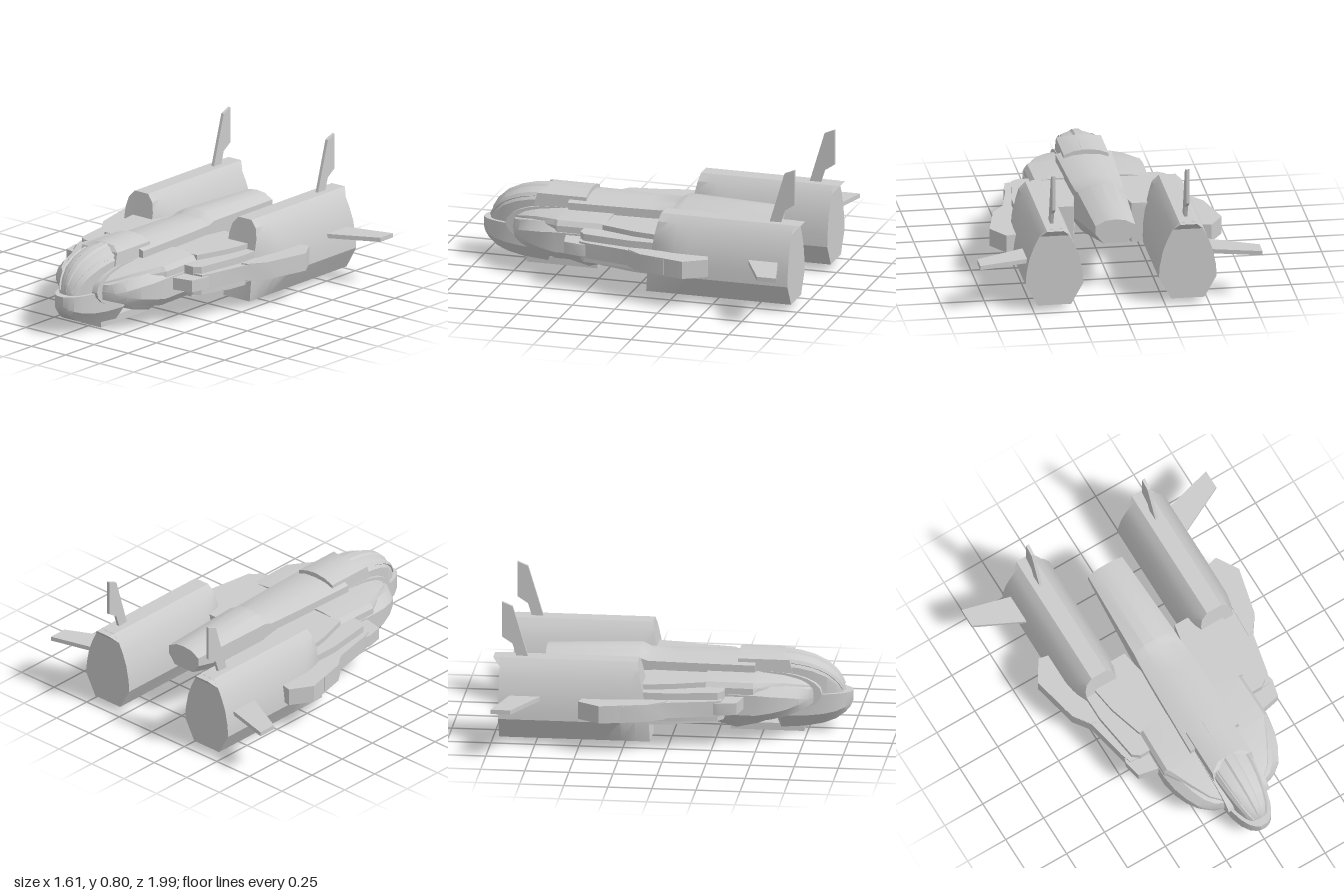
import * as THREE from 'three';
import { toCreasedNormals } from 'three/addons/utils/BufferGeometryUtils.js';

const material = new THREE.MeshStandardMaterial({ color: 0xcccccc });

function add(parent, name, geometry) {
  const mesh = new THREE.Mesh(toCreasedNormals(geometry, 0.5), material);
  mesh.name = name;
  parent.add(mesh);
  return mesh;
}

// Closed loft, front to back. Each station is [z, right half profile from top to bottom];
// the profile is mirrored about x = 0, and a third coordinate may shift z.
function loft(stations) {
  const rings = stations.map(([z, half]) => {
    const right = half.map(([x, y, dz = 0]) => new THREE.Vector3(x, y, z + dz));
    const left = right.map(p => new THREE.Vector3(-p.x, p.y, p.z)).reverse();
    return [...right, ...left];
  });
  const n = rings[0].length, out = [];
  const tri = (...ps) => ps.forEach(p => out.push(p.x, p.y, p.z));
  for (let i = 0; i + 1 < rings.length; i++) {
    for (let j = 0; j < n; j++) {
      const k = (j + 1) % n, a = rings[i], b = rings[i + 1];
      tri(a[j], a[k], b[j]);
      tri(a[k], b[k], b[j]);
    }
  }
  const cap = (ring, front) => {
    const c = ring.reduce((s, p) => s.add(p), new THREE.Vector3()).divideScalar(n);
    ring.forEach((p, j) => {
      const q = ring[(j + 1) % n];
      if (front) tri(c, q, p); else tri(c, p, q);
    });
  };
  cap(rings[0], true);
  cap(rings[rings.length - 1], false);
  const g = new THREE.BufferGeometry();
  g.setAttribute('position', new THREE.Float32BufferAttribute(out, 3));
  g.computeVertexNormals();
  return g;
}

const polygon = pts => new THREE.Shape(pts.map(p => new THREE.Vector2(...p)));

// Horizontal slab from an (x, z) outline
function slab(pts, y0, y1, side = 1) {
  const g = new THREE.ExtrudeGeometry(polygon(pts.map(([x, z]) => [x * side, -z])),
    { depth: y1 - y0, bevelEnabled: false });
  return g.rotateX(-Math.PI / 2).translate(0, y0, 0);
}

// Upright plate from a (z, y) outline, centred on x
function upright(pts, x, width) {
  const g = new THREE.ExtrudeGeometry(polygon(pts), { depth: width, bevelEnabled: false });
  return g.translate(0, 0, -width / 2).rotateY(-Math.PI / 2).translate(x, 0, 0);
}

function createNacelle(side) {
  const nacelle = new THREE.Group();
  nacelle.name = side > 0 ? 'leftNacelle' : 'rightNacelle';
  const profile = [[0.048, 0.49], [0.085, 0.45], [0.115, 0.39], [0.142, 0.32],
    [0.16, 0.23], [0.165, 0.16], [0.095, 0.035]];
  // the front face leans back with height and pinches in
  const lean = y => -0.2 * Math.max(0, y - 0.12);
  const ring = (z, limit, slope) =>
    [z, profile.map(([x, y]) => [Math.min(x, limit), y, slope * lean(y)])];
  const body = add(nacelle, 'nacelleBody', loft([
    ring(-0.1, 0.1, 1), ring(-0.18, 0.13, 0.7), ring(-0.26, 0.152, 0.4),
    ring(-0.36, 0.165, 0), ring(-0.955, 0.165, 0)]));
  body.position.x = 0.38 * side;

  // overhanging lip at the top of the rear
  const lip = add(nacelle, 'rearLip', loft([
    [-0.93, [[0.047, 0.489], [0.085, 0.45]]],
    [-0.955, [[0.047, 0.489, -0.04], [0.085, 0.45, -0.005]]]]));
  lip.position.x = 0.38 * side;

  add(nacelle, 'verticalFin', upright([[-0.8, 0.48], [-0.89, 0.78], [-0.95, 0.805],
    [-0.95, 0.6], [-0.89, 0.56], [-0.865, 0.48]], 0.382 * side, 0.018));
  add(nacelle, 'sideFin', slab([[0.5, -0.885], [0.805, -0.967], [0.805, -0.855],
    [0.5, -0.705]], 0.27, 0.295, side));
  return nacelle;
}

export function createModel() {
  const ship = new THREE.Group();
  ship.name = 'spacecraft';

  // Spine running to a thin raised tail
  const spine = (z, w, top, shoulder, low, bottom) =>
    [z, [[0, top], [w * 0.5, top - 0.006], [w, shoulder], [w, low], [w * 0.6, bottom]]];
  add(ship, 'spine', loft([
    spine(0.46, 0.16, 0.437, 0.405, 0.2, 0.12), spine(0.0, 0.145, 0.437, 0.405, 0.2, 0.12),
    spine(-0.15, 0.137, 0.437, 0.405, 0.24, 0.15), spine(-0.2, 0.134, 0.462, 0.42, 0.25, 0.165),
    spine(-0.735, 0.113, 0.445, 0.41, 0.36, 0.305)]));

  // Wide rounded shoulders: lower hull, and a stepped upper shell
  const hull = (z, w, top, bottom) =>
    [z, [[w * 0.85, top], [w, top - 0.05], [w, bottom + 0.045], [w * 0.9, bottom]]];
  add(ship, 'shoulderHull', loft([
    hull(0.79, 0.14, 0.275, 0.195), hull(0.765, 0.21, 0.285, 0.185), hull(0.72, 0.262, 0.3, 0.17),
    hull(0.65, 0.302, 0.315, 0.15), hull(0.57, 0.33, 0.325, 0.135), hull(0.48, 0.345, 0.335, 0.122),
    hull(0.19, 0.335, 0.335, 0.122)]));
  const shell = (z, w, top) =>
    [z, [[w * 0.6, top], [w * 0.94, top - 0.012], [w, top - 0.04], [w, 0.26]]];
  add(ship, 'upperShell', loft([
    shell(0.78, 0.13, 0.3), shell(0.72, 0.2, 0.325), shell(0.62, 0.26, 0.348),
    shell(0.49, 0.325, 0.362), shell(0.47, 0.341, 0.364), shell(0.19, 0.335, 0.364)]));

  // Curved collar behind the nose
  const collar = [[0.45, 0.12], [0.45, 0.365]];
  for (let i = 0; i <= 12; i++) {
    const a = Math.PI * (0.5 - i / 12);
    collar.push([0.55 + 0.285 * Math.cos(a), 0.243 + 0.122 * Math.sin(a)]);
  }
  add(ship, 'collar', upright(collar, 0, 0.27));

  // Domed canopy: [z, half width, top]
  const canopyPath = [[0.955, 0.025, 0.245], [0.945, 0.05, 0.285], [0.915, 0.072, 0.335],
    [0.86, 0.092, 0.385], [0.78, 0.108, 0.422], [0.7, 0.118, 0.442], [0.62, 0.122, 0.45], [0.36, 0.122, 0.452]];
  add(ship, 'canopy', loft(canopyPath.map(([z, w, top]) =>
    [z, [[w * 0.3, top], [w * 0.75, top - 0.018], [w, Math.max(top - 0.055, 0.235)], [w, 0.2]]])));
  add(ship, 'canopyRidge', loft(canopyPath.map(([z, w, top]) =>
    [z, [[w * 0.18, top + 0.011], [w * 0.42, top - 0.015]]])));
  // raised cowl with cut-back front
  add(ship, 'canopyCowl', loft([
    [0.61, [[0, 0.464], [0.07, 0.456], [0.128, 0.435, 0.04], [0.132, 0.36, 0.06]]],
    [0.36, [[0, 0.464], [0.07, 0.456], [0.128, 0.435], [0.132, 0.36]]]]));
  // side ribs sweeping back from the nose
  for (const s of [-1, 1]) {
    const rib = new THREE.CatmullRomCurve3(canopyPath.slice(1, 7).map(([z, w, top]) =>
      new THREE.Vector3(s * w * 0.84, top - 0.033, z)));
    add(ship, 'canopyRib', new THREE.TubeGeometry(rib, 16, 0.012, 4));
  }

  // Rounded chin: [z, half width, bottom]
  const chinPath = [[0.998, 0.022, 0.17], [0.985, 0.045, 0.142], [0.96, 0.07, 0.115],
    [0.91, 0.096, 0.08], [0.84, 0.116, 0.055], [0.74, 0.127, 0.036], [0.6, 0.13, 0.025]];
  add(ship, 'chin', loft([...chinPath.map(([z, w, b]) =>
    [z, [[w, 0.235], [w, (b + 0.235) / 2 - 0.025], [w * 0.6, b]]]),
  [0.56, [[0.13, 0.235], [0.13, 0.13], [0.078, 0.12]]]]));

  // Keel and belly plate
  add(ship, 'keel', loft([
    [0.58, [[0.13, 0.2], [0.13, 0.12], [0.09, 0.09]]],
    [0.47, [[0.16, 0.2], [0.14, 0.11], [0.1, 0.05]]],
    [0.35, [[0.19, 0.2], [0.15, 0.07], [0.11, 0.025]]],
    [0.0, [[0.19, 0.2], [0.15, 0.135], [0.11, 0.12]]]]));
  add(ship, 'bellyPlate', slab([[-0.075, 0.73], [0.075, 0.73], [0.075, 0.31], [-0.075, 0.31]], 0.003, 0.045));

  for (const s of [1, -1]) {
    // Wing bridging the hull and the nacelle
    add(ship, 'wing', slab([[0.1, 0.31], [0.4, 0.31], [0.44, 0.28], [0.48, 0], [0.48, -0.25],
      [0.165, -0.25], [0.14, -0.1]], 0.16, 0.325, s));
    add(ship, 'wingTopPlate', slab([[0.1, 0.2], [0.34, 0.2], [0.4, 0], [0.43, -0.2],
      [0.27, -0.25], [0.165, -0.25], [0.12, 0]], 0.32, 0.355, s));
    add(ship, 'wingUnderPlate', slab([[0.1, 0.25], [0.34, 0.25], [0.42, 0], [0.45, -0.25],
      [0.165, -0.25], [0.12, 0]], 0.122, 0.165, s));
    // Armoured outer pod in stepped blocks
    add(ship, 'podFront', slab([[0.32, 0.42], [0.46, 0.39], [0.482, 0.29], [0.47, 0.24],
      [0.42, 0.1], [0.32, 0.1]], 0.205, 0.275, s));
    add(ship, 'podMiddle', slab([[0.36, 0.31], [0.46, 0.3], [0.48, 0.24], [0.53, 0],
      [0.6, -0.1], [0.635, -0.25], [0.4, -0.25]], 0.195, 0.285, s));
    add(ship, 'podRear', slab([[0.5, 0], [0.535, -0.01], [0.6, -0.1], [0.662, -0.37],
      [0.585, -0.495], [0.52, -0.48]], 0.19, 0.292, s));
    ship.add(createNacelle(s));
  }
  return ship;
}
